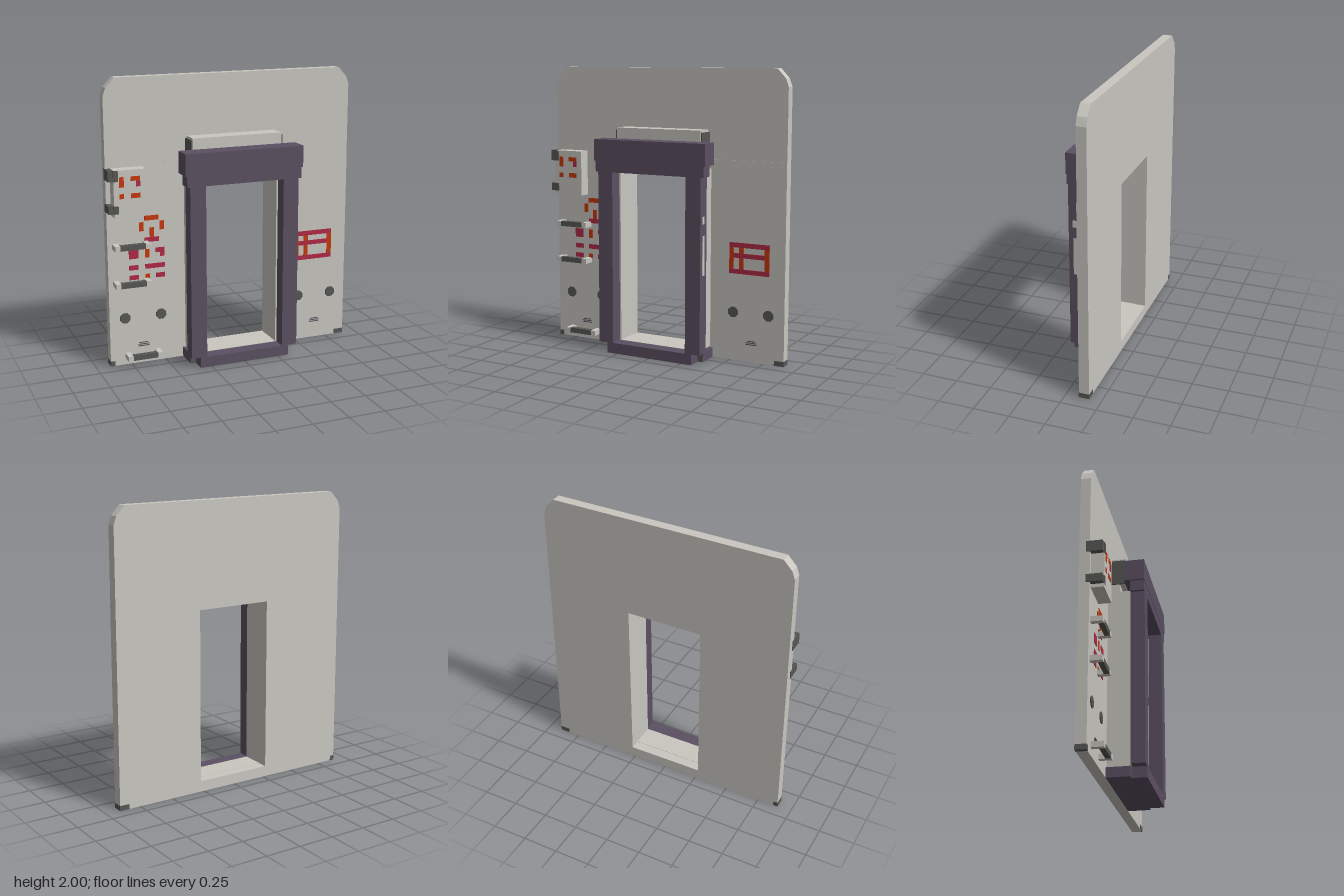
import * as THREE from 'three';

const mat = (name, color, extra = {}) => {
  const m = new THREE.MeshStandardMaterial({ color, ...extra });
  m.name = name;
  return m;
};

export function createModel() {
  const light = mat('pale grey', 0xc9c7c0);
  const purple = mat('dusky purple', 0x5c5062);
  const dark = mat('dark grey', 0x575855);
  const orange = mat('orange', 0xc8380f);
  const crimson = mat('crimson', 0xb02a45);

  const root = new THREE.Group();
  root.name = 'doorwayWall';

  // Box given by its limits on each axis
  const box = (name, m, x0, x1, y0, y1, z0, z1, parent = root) => {
    const mesh = new THREE.Mesh(new THREE.BoxGeometry(x1 - x0, y1 - y0, z1 - z0), m);
    mesh.position.set((x0 + x1) / 2, (y0 + y1) / 2, (z0 + z1) / 2);
    mesh.name = name;
    parent.add(mesh);
    return mesh;
  };
  // Mirrored pair of boxes
  const pair = (name, m, x0, x1, ...rest) => {
    box(name + 'Left', m, x0, x1, ...rest);
    box(name + 'Right', m, -x1, -x0, ...rest);
  };
  const slab = (name, m, points, holes, z0, z1) => {
    const shape = new THREE.Shape(points.map(p => new THREE.Vector2(...p)));
    for (const h of holes) shape.holes.push(new THREE.Path(h.map(p => new THREE.Vector2(...p))));
    const g = new THREE.ExtrudeGeometry(shape, { depth: z1 - z0, bevelEnabled: false });
    g.translate(0, 0, z0);
    const mesh = new THREE.Mesh(g, m);
    mesh.name = name;
    root.add(mesh);
  };

  // Wall: lower slab with door opening, upper slab with cut corners
  const back = -0.165, face = -0.094;
  slab('lowerWall', light, [[-0.9, 0], [0.9, 0], [0.9, 1.385], [-0.9, 1.385]],
    [[[-0.272, 0.075], [-0.272, 1.275], [0.272, 1.275], [0.272, 0.075]]], back, face);
  slab('upperWall', light, [[-0.9, 1.385], [0.9, 1.385], [0.9, 1.88], [0.88, 1.935], [0.82, 2],
    [-0.82, 2], [-0.88, 1.935], [-0.9, 1.88]], [], back, -0.097);
  box('wallFootRight', dark, -0.901, -0.868, 0, 0.035, -0.166, -0.092);
  box('wallFootLeft', dark, 0.83, 0.901, 0, 0.035, -0.166, -0.092);

  // Inner door lining
  pair('liningJamb', light, 0.272, 0.35, 0.075, 1.275, face, 0.07);
  box('liningHeader', light, -0.35, 0.35, 1.275, 1.32, face, 0.07);
  box('liningFloor', light, -0.272, 0.272, 0.068, 0.077, face, 0.07);
  box('headerSpacer', light, -0.325, 0.325, 1.32, 1.39, face, -0.018);
  box('headerBox', light, -0.325, 0.325, 1.39, 1.585, -0.097, 0.025);
  pair('headerCheek', dark, 0.325, 0.335, 1.39, 1.57, -0.097, 0.022);

  // Purple door frame
  pair('framePost', purple, 0.283, 0.395, 0.075, 1.285, 0.07, 0.165);
  box('frameLowerLintel', purple, -0.415, 0.415, 1.285, 1.36, 0.07, 0.165);
  box('frameLintel', purple, -0.427, 0.427, 1.36, 1.51, 0.03, 0.167);
  box('sillFront', purple, -0.33, 0.33, 0, 0.075, 0.06, 0.165);
  box('sillBack', purple, -0.37, 0.37, 0, 0.068, face, 0.06);
  pair('sillCap', dark, 0.33, 0.37, 0, 0.075, 0.057, 0.063);
  box('postStripLower', light, 0.393, 0.398, 0.62, 0.89, 0.105, 0.132);
  box('postStripUpper', light, 0.393, 0.398, 0.97, 1.02, 0.105, 0.135);

  // Wall cabinet with hinges
  box('cabinet', light, -0.868, -0.645, 1.08, 1.4, -0.097, -0.008);
  for (const [y0, y1] of [[1.325, 1.4], [1.105, 1.16]]) {
    box('hingeSide', dark, -0.904, -0.865, y0, y1, -0.12, -0.012);
    box('hingeLeaf', dark, -0.87, -0.837, y0, y1, -0.012, -0.005);
  }

  // Grab handles
  for (const [x, y] of [[-0.742, 0.862], [-0.742, 0.597], [-0.67, 0.067]]) {
    const handle = new THREE.Group();
    handle.name = 'grabHandle';
    handle.position.set(x, y, 0);
    box('handleBar', dark, -0.09, 0.09, -0.018, 0.018, -0.05, -0.014, handle);
    for (const s of [-1, 1])
      box('handleBracket', light, s * 0.107 - 0.018, s * 0.107 + 0.018, -0.018, 0.018, face, -0.012, handle);
    root.add(handle);
  }

  // Round-cornered studs and small vents
  for (const x of [-0.79, -0.53, 0.525, 0.785]) {
    const stud = new THREE.Mesh(new THREE.CylinderGeometry(0.039, 0.039, 0.008, 8), dark);
    stud.geometry.rotateY(Math.PI / 8).rotateX(Math.PI / 2);
    stud.position.set(x, 0.34, face + 0.003);
    stud.name = 'stud';
    root.add(stud);
  }
  for (const x of [-0.66, 0.66])
    for (let i = 0; i < 3; i++) {
      const w = i === 2 ? 0.03 : 0.04;
      box('ventSlot', purple, x - w, x + w, 0.12 + i * 0.012, 0.126 + i * 0.012, face, face + 0.004);
    }

  // Painted marks: [x0, x1, y0, y1]
  const paint = (name, m, z, list) => {
    for (const r of list) box(name, m, ...r, z, z + 0.004);
  };
  paint('cabinetMark', orange, -0.009, [[-0.83, -0.798, 1.285, 1.355], [-0.75, -0.685, 1.325, 1.355],
    [-0.83, -0.798, 1.207, 1.24], [-0.75, -0.685, 1.207, 1.24]]);
  paint('cabinetMark', crimson, -0.009, [[-0.715, -0.685, 1.285, 1.325]]);
  paint('wallMark', orange, face, [[-0.637, -0.535, 1.022, 1.055], [-0.675, -0.643, 0.95, 1.012],
    [-0.53, -0.497, 0.95, 1.012], [-0.6, -0.57, 0.902, 0.97], [-0.637, -0.605, 0.76, 0.823],
    [-0.637, -0.605, 0.61, 0.642]]);
  paint('wallMark', crimson, face, [[-0.637, -0.535, 0.87, 0.902], [-0.752, -0.685, 0.76, 0.823],
    [-0.56, -0.497, 0.79, 0.823], [-0.53, -0.497, 0.76, 0.79], [-0.752, -0.685, 0.68, 0.713],
    [-0.637, -0.497, 0.68, 0.713], [-0.752, -0.685, 0.61, 0.642], [-0.56, -0.497, 0.61, 0.642]]);
  paint('gridPanelBar', crimson, face, [[0.492, 0.787, 0.792, 0.825], [0.492, 0.787, 0.61, 0.642],
    [0.524, 0.752, 0.72, 0.752]]);
  paint('gridPanelPost', orange, face, [[0.492, 0.524, 0.642, 0.792], [0.565, 0.598, 0.642, 0.72],
    [0.565, 0.598, 0.752, 0.792], [0.752, 0.787, 0.642, 0.792]]);

  return root;
}
